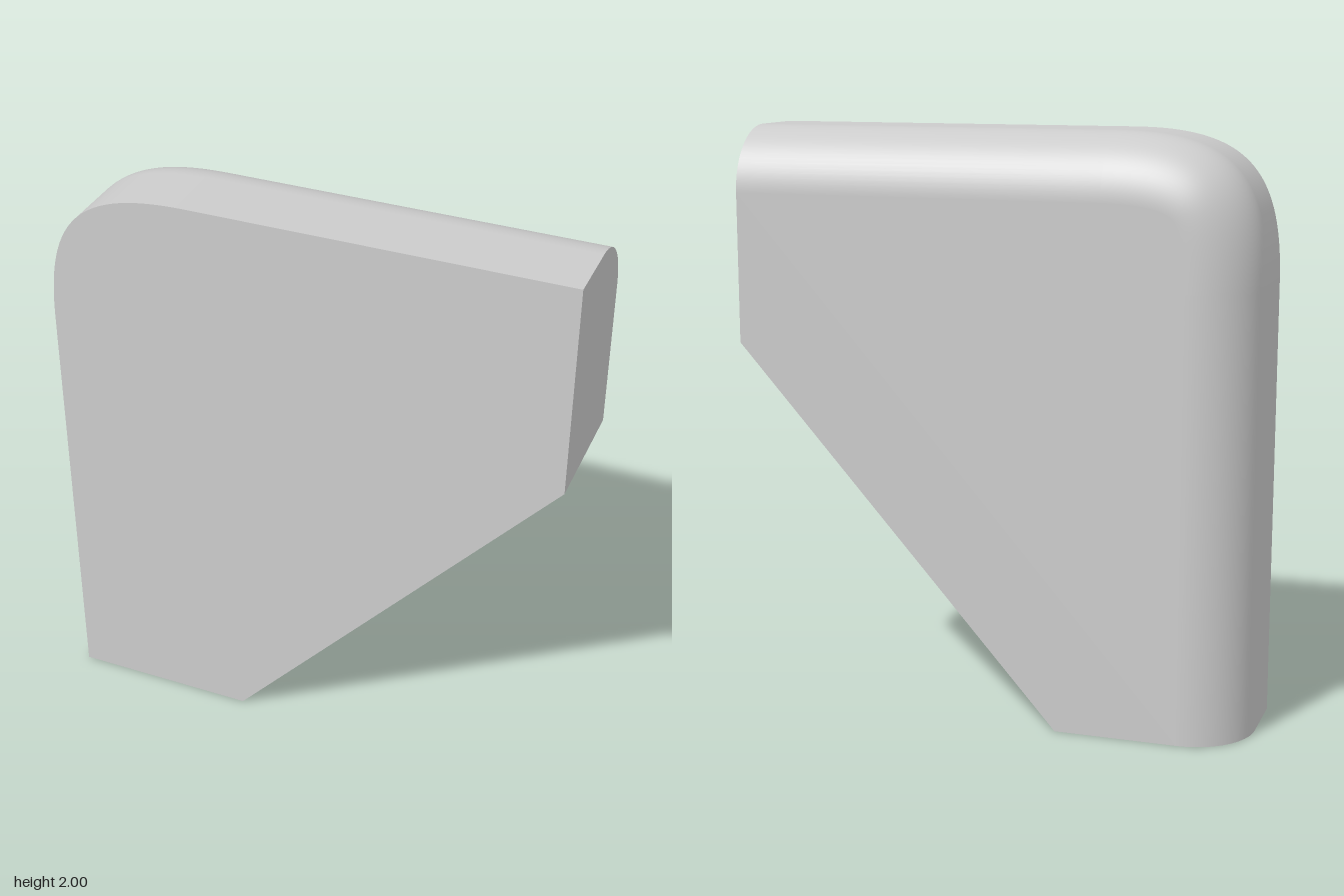
import * as THREE from 'three';

const LEFT = -0.885, RIGHT = 0.885, TOP = 2, DEPTH = 0.22, ROUND = 0.22;
const CORNER = 0.5, HANDLE = 0.375;
const SLOPE_LOW = [-0.245, 0], SLOPE_HIGH = [RIGHT, 1.27];

// Flat convex face from a loop of corners, counter-clockwise from outside
function flatFace(points) {
  const index = [];
  for (let i = 1; i < points.length - 1; i++) index.push(0, i, i + 1);
  const geo = new THREE.BufferGeometry().setFromPoints(points);
  geo.setIndex(index);
  geo.computeVertexNormals();
  return geo;
}

export function createModel() {
  const group = new THREE.Group();
  const material = new THREE.MeshStandardMaterial({ color: 0xcccccc });
  const add = (name, geo) => {
    const mesh = new THREE.Mesh(geo, material);
    mesh.name = name;
    group.add(mesh);
  };

  // Rounded edge path: up the side, round the corner, along the top
  const corner = new THREE.CubicBezierCurve(
    new THREE.Vector2(LEFT, TOP - CORNER),
    new THREE.Vector2(LEFT, TOP - CORNER + HANDLE),
    new THREE.Vector2(LEFT + CORNER - HANDLE, TOP),
    new THREE.Vector2(LEFT + CORNER, TOP));
  const path = [{ p: new THREE.Vector2(LEFT, 0), n: new THREE.Vector2(-1, 0) }];
  for (let i = 0; i <= 40; i++) {
    const t = corner.getTangent(i / 40);
    path.push({ p: corner.getPoint(i / 40), n: new THREE.Vector2(-t.y, t.x) });
  }
  path.push({ p: new THREE.Vector2(RIGHT, TOP), n: new THREE.Vector2(0, 1) });

  // Section across the edge: flat towards the front, quarter round to the back
  const section = [{ d: 0, z: DEPTH, a: 0 }];
  for (let j = 0; j <= 20; j++) {
    const a = (j / 20) * Math.PI / 2;
    section.push({ d: ROUND * (1 - Math.cos(a)), z: ROUND - DEPTH - ROUND * Math.sin(a), a });
  }

  const at = ({ p, n }, { d, z }) => new THREE.Vector3(p.x - n.x * d, p.y - n.y * d, z);
  const positions = [], normals = [], index = [], m = section.length;
  path.forEach((u, i) => section.forEach((v, j) => {
    positions.push(...at(u, v).toArray());
    normals.push(u.n.x * Math.cos(v.a), u.n.y * Math.cos(v.a), -Math.sin(v.a));
    if (i && j) {
      const a = (i - 1) * m + j - 1, b = a + m;
      index.push(a, b, b + 1, a, b + 1, a + 1);
    }
  }));
  const edge = new THREE.BufferGeometry();
  edge.setAttribute('position', new THREE.Float32BufferAttribute(positions, 3));
  edge.setAttribute('normal', new THREE.Float32BufferAttribute(normals, 3));
  edge.setIndex(index);
  add('roundedEdge', edge);

  // Flat faces closing the block
  const low = z => new THREE.Vector3(...SLOPE_LOW, z);
  const high = z => new THREE.Vector3(...SLOPE_HIGH, z);
  const outline = (v, z) => [...path.map(u => at(u, v)), high(z), low(z)];
  const first = path[0], last = path[path.length - 1];
  add('frontFace', flatFace(outline(section[0], DEPTH).reverse()));
  add('backFace', flatFace(outline(section[m - 1], -DEPTH)));
  add('endFace', flatFace([...section.map(v => at(last, v)), high(-DEPTH), high(DEPTH)].reverse()));
  add('bottomFace', flatFace([...section.map(v => at(first, v)), low(-DEPTH), low(DEPTH)]));
  add('slopedFace', flatFace([low(DEPTH), low(-DEPTH), high(-DEPTH), high(DEPTH)]));
  return group;
}
